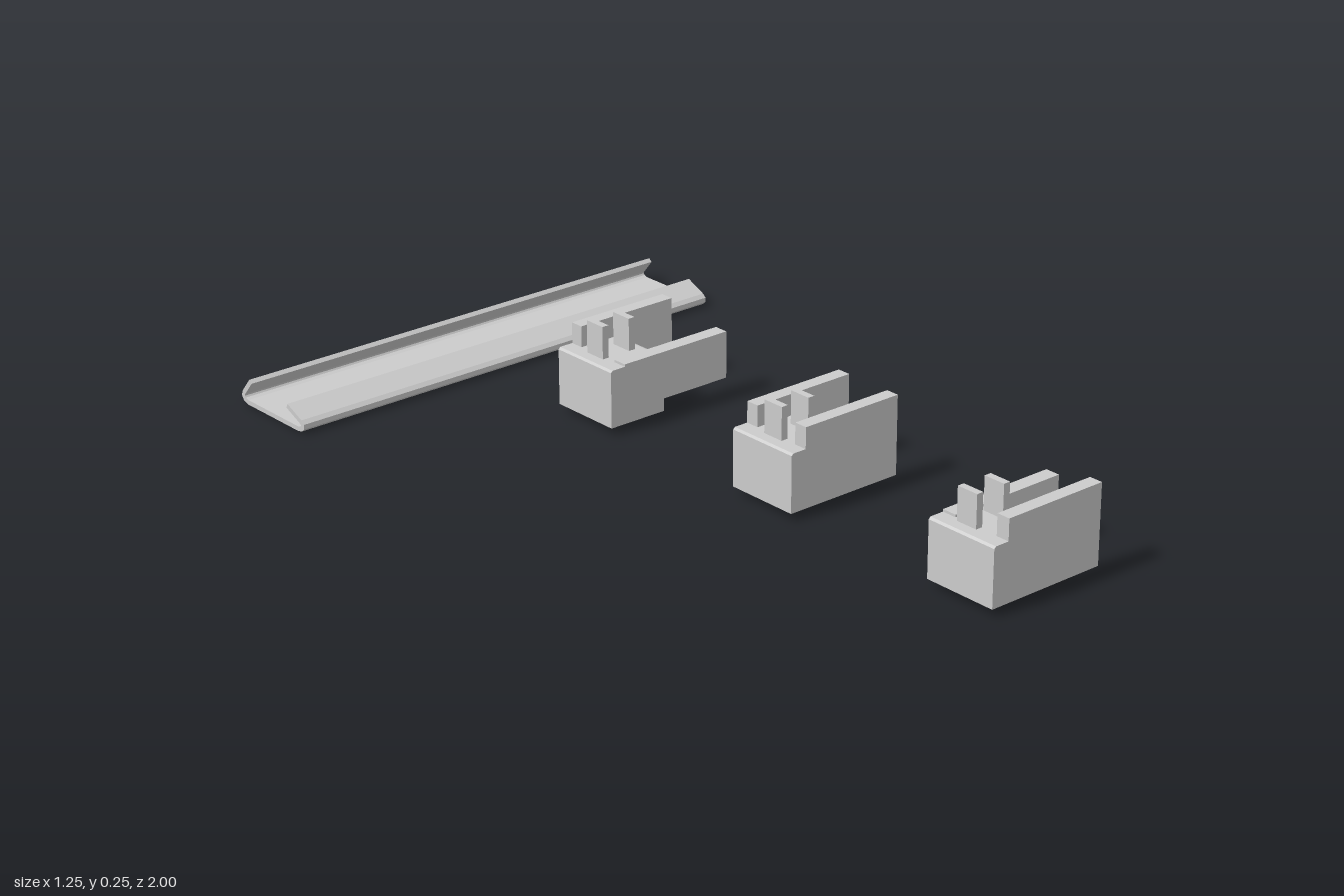
import * as THREE from 'three';

const material = new THREE.MeshStandardMaterial({ color: 0xcccccc, flatShading: true });

function add(parent, geometry, name) {
  const mesh = new THREE.Mesh(geometry, material);
  mesh.name = name;
  parent.add(mesh);
  return mesh;
}

// Box given by its lower and upper limits on each axis
function box(parent, name, [x0, x1], [y0, y1], [z0, z1]) {
  const mesh = add(parent, new THREE.BoxGeometry(x1 - x0, y1 - y0, z1 - z0), name);
  mesh.position.set((x0 + x1) / 2, (y0 + y1) / 2, (z0 + z1) / 2);
}

// Closed outline of a bent strip of constant thickness around a centre line
function stripShape(points, thickness) {
  const p = points.map(([x, y]) => new THREE.Vector2(x, y));
  const normal = (a, b) => new THREE.Vector2(a.y - b.y, b.x - a.x).normalize();
  const left = [], right = [];
  p.forEach((q, i) => {
    const n0 = normal(p[Math.max(i - 1, 0)], p[Math.max(i, 1)]);
    const n1 = normal(p[Math.min(i, p.length - 2)], p[Math.min(i + 1, p.length - 1)]);
    const miter = n0.clone().add(n1).normalize();
    miter.multiplyScalar(thickness / 2 / miter.dot(n0));
    left.push(q.clone().add(miter));
    right.unshift(q.clone().sub(miter));
  });
  return new THREE.Shape([...left, ...right]);
}

// Rail: folded sheet with two lips turned inwards
function makeRail() {
  const centreLine = [
    [0.808, 0.051], [0.753, 0.027], [0.746, 0.021], [0.746, 0.015], [0.753, 0.009],
    [0.765, 0.006], [0.975, 0.006], [0.988, 0.010], [0.994, 0.018], [0.991, 0.027], [0.96, 0.064],
  ];
  const length = 1.25;
  const geometry = new THREE.ExtrudeGeometry(stripShape(centreLine, 0.012), { depth: length, bevelEnabled: false });
  geometry.translate(0, 0, -length / 2).rotateY(Math.PI / 2);
  return geometry;
}

// Clip body: block with rounded upper edges, spanning the full clip width
function makeBody(width) {
  const x0 = -0.083, x1 = 0.079, y0 = 0.018, y1 = 0.164, r = 0.015, s = 0.005;
  const shape = new THREE.Shape();
  shape.moveTo(x0, y0);
  shape.lineTo(x1, y0);
  shape.lineTo(x1, y1 - r);
  shape.quadraticCurveTo(x1, y1, x1 - r, y1);
  shape.lineTo(x0 + s, y1);
  shape.lineTo(x0, y1 - s);
  const geometry = new THREE.ExtrudeGeometry(shape, { depth: width, bevelEnabled: false, curveSegments: 6 });
  return geometry.translate(0, 0, -width / 2);
}

// A clip has two arms (front and back), each tall or short, and two pins
function makeClip(name, z, frontTall, backTall, pinZ) {
  const clip = new THREE.Group();
  clip.name = name;
  const half = 0.098;
  add(clip, makeBody(half * 2), 'clipBody');
  [[1, frontTall, 'frontArm'], [-1, backTall, 'backArm']].forEach(([side, tall, armName]) => {
    const thickness = tall ? 0.035 : 0.038;
    const range = [side * half, side * (half - thickness)].sort((a, b) => a - b);
    if (tall) box(clip, armName, [-0.041, 0.24], [0.018, 0.217], range);
    else box(clip, armName, [-0.041, 0.275], [0.05, 0.17], range);
  });
  for (const x of [-0.042, 0.038]) {
    box(clip, 'pin', [x - 0.009, x + 0.009], [0.14, 0.246], [pinZ - 0.029, pinZ + 0.029]);
  }
  clip.position.z = z;
  return clip;
}

export function createModel() {
  const model = new THREE.Group();
  model.name = 'railAndClips';
  add(model, makeRail(), 'rail');
  model.add(
    makeClip('frontClip', 0.902, true, false, -0.017),
    makeClip('middleClip', 0.272, true, true, 0),
    makeClip('rearClip', -0.357, false, true, 0),
  );
  return model;
}
